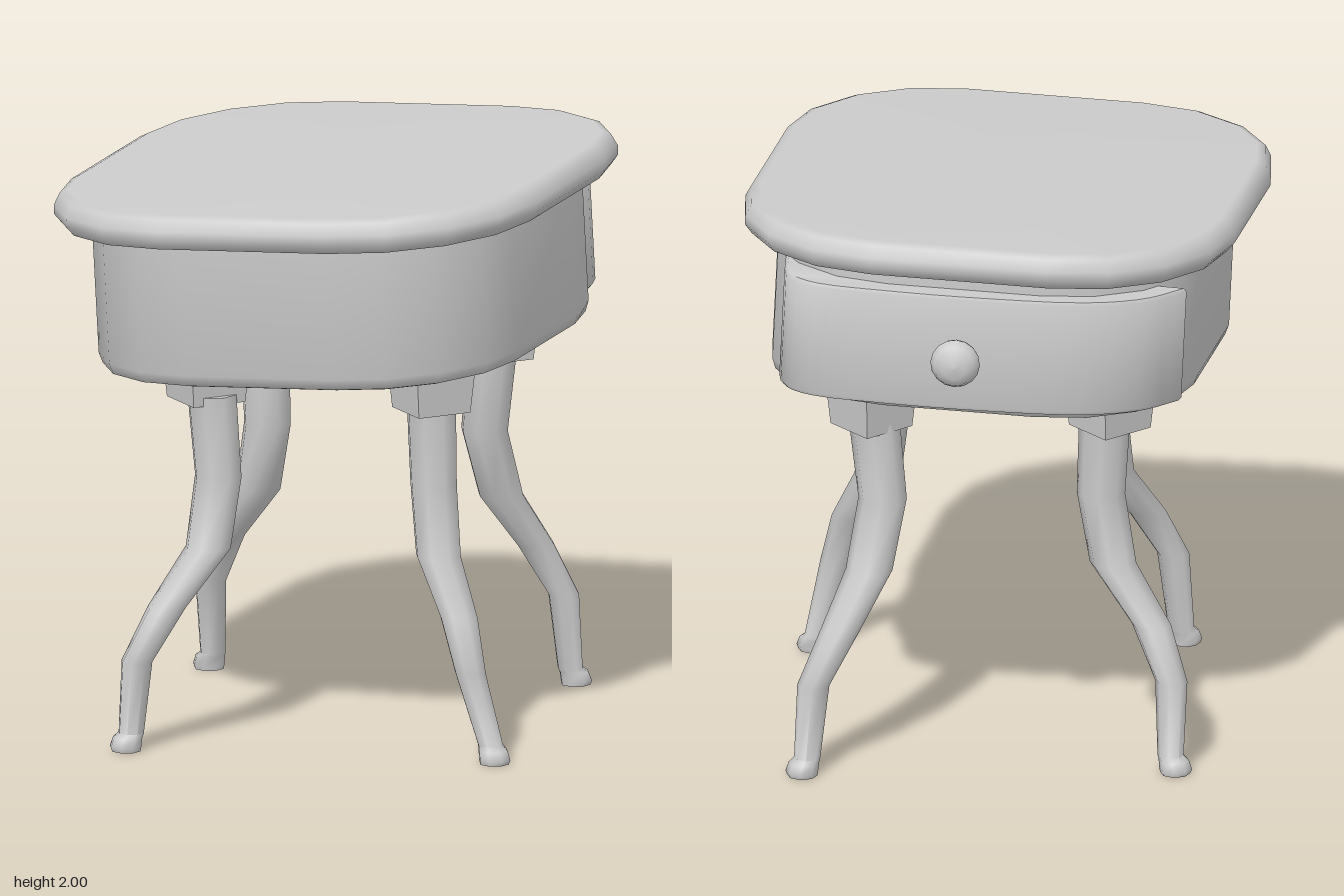
import * as THREE from 'three';
import { toCreasedNormals } from 'three/addons/utils/BufferGeometryUtils.js';

const material = new THREE.MeshStandardMaterial({ color: 0xcccccc });

function part(name, geometry, parent) {
  const mesh = new THREE.Mesh(geometry, material);
  mesh.name = name;
  parent.add(mesh);
  return mesh;
}

// Skin through closed rings of [x, y, z] points, with optional end caps.
// The start cap faces down, the end cap faces up.
function loft(rings, capStart, capEnd) {
  const n = rings[0].length;
  const points = rings.flat();
  const index = [];
  for (let i = 0; i < rings.length - 1; i++) {
    for (let j = 0; j < n; j++) {
      const a = i * n + j, b = i * n + (j + 1) % n;
      index.push(a, a + n, b, b, a + n, b + n);
    }
  }
  const cap = (row, up) => {
    const centre = points.length;
    points.push([0, 1, 2].map((k) => rings[row].reduce((s, p) => s + p[k], 0) / n));
    for (let j = 0; j < n; j++) {
      const a = row * n + j, b = row * n + (j + 1) % n;
      index.push(centre, up ? b : a, up ? a : b);
    }
  };
  if (capStart) cap(0, false);
  if (capEnd) cap(rings.length - 1, true);
  const g = new THREE.BufferGeometry();
  g.setAttribute('position', new THREE.Float32BufferAttribute(points.flat(), 3));
  g.setIndex(index);
  g.computeVertexNormals();
  return g;
}

// Rounded square outline, skewed sideways from front to back.
function roundedSquare(half, radius, y) {
  const ring = [];
  for (let q = 0; q < 4; q++) {
    for (let s = 0; s <= 4; s++) {
      const a = (q + s / 4) * Math.PI / 2;
      const m = (q + 0.5) * Math.PI / 2;
      const x = Math.sign(Math.cos(m)) * (half - radius) + radius * Math.cos(a);
      const z = Math.sign(Math.sin(m)) * (half - radius) + radius * Math.sin(a);
      ring.push([x - 0.1 * z, y, z]);
    }
  }
  return ring;
}

// Horizontal round ring for the legs.
function circle(x, y, z, radius, sides = 8) {
  return Array.from({ length: sides }, (_, i) => {
    const a = i / sides * Math.PI * 2;
    return [x + radius * Math.cos(a), y, z + radius * Math.sin(a)];
  });
}

// Leg heights and radii, shared by all four legs from top to ankle
const legStations = [[1.22, 0.088], [0.93, 0.083], [0.69, 0.08], [0.5, 0.067], [0.32, 0.055], [0.06, 0.045]];
// Foot: [height, outward shift, radius]
const footStations = [[0.045, 0.015, 0.052], [0.015, 0.024, 0.056], [0, 0.022, 0.052]];

// Leg: square block on top, S-curved shaft, small foot pointing outward.
function makeLeg({ name, block: [bx, bz], xs, zs }) {
  const leg = new THREE.Group();
  leg.name = name;
  const block = new THREE.CylinderGeometry(0.165, 0.14, 0.22, 4).translate(bx, 1.3, bz);
  part('legBlock', toCreasedNormals(block, 0.5), leg);

  const rings = legStations.map(([y, r], i) => circle(xs[i], y, zs[i], r));
  const ax = xs.at(-1), az = zs.at(-1), len = Math.hypot(ax, az);
  footStations.forEach(([y, d, r]) => rings.push(circle(ax * (1 + d / len), y, az * (1 + d / len), r)));
  part('legShaft', toCreasedNormals(loft(rings.reverse(), true, true), 1.1), leg);
  return leg;
}

export function createModel() {
  const model = new THREE.Group();
  model.name = 'sideTable';

  // Slightly tilted upper case
  const upper = new THREE.Group();
  upper.name = 'upperCase';
  upper.position.set(0.015, 1.33, 0.06);
  upper.rotation.set(0.025, 0, 0.045);
  model.add(upper);

  // Table top with a rounded rim: [inset, height]
  const rim = [[0.09, 0.5], [0.025, 0.507], [0, 0.54], [0, 0.572], [0.02, 0.612], [0.05, 0.625]];
  part('tableTop', loft(rim.map(([d, y]) => roundedSquare(0.84 - d, 0.54 - d, y)), true, true), upper);

  // Case with a rounded lower lip around a recessed bottom
  const wall = [[0.07, 0.06], [0.06, 0.02], [0.04, -0.005], [0.012, 0.003], [0, 0.04], [0, 0.51]];
  const rings = wall.map(([d, y]) => roundedSquare(0.73 - d, 0.47 - d, y));
  part('case', toCreasedNormals(loft(rings, true), 1.2), upper);

  // Curved drawer front wrapped around the back of the case
  const outline = [
    [-0.67, -0.47], [-0.55, -0.605], [-0.36, -0.695], [0, -0.735], [0.35, -0.735],
    [0.59, -0.71], [0.68, -0.64], [0.71, -0.42],
  ];
  const curve = new THREE.CatmullRomCurve3(outline.map(([x, z]) => new THREE.Vector3(x, 0, z)));
  const front = curve.getPoints(24).map((p) => [p.x - 0.005, p.z - 0.07]);
  const drawerRing = (y, k) => front.map(([x, z]) => [x * k, y, -0.5 + (z + 0.5) * k]);
  const drawer = loft([drawerRing(0.04, 0.985), drawerRing(0.052, 1), drawerRing(0.435, 1), drawerRing(0.447, 0.985)], true, true);
  part('drawer', toCreasedNormals(drawer, 0.9), upper);

  // Knob turned around the z axis: [radius, distance out]
  const profile = [
    [0.03, -0.02], [0.03, 0.01], [0.02, 0.03], [0.022, 0.055], [0.055, 0.075],
    [0.08, 0.105], [0.085, 0.125], [0.07, 0.158], [0.04, 0.175], [0, 0.18],
  ].map(([r, y]) => new THREE.Vector2(r, y));
  const knob = part('drawerKnob', new THREE.LatheGeometry(profile, 16), upper);
  knob.rotation.x = -Math.PI / 2;
  knob.position.set(0.07, 0.25, -0.805);

  // Four legs, each with its own slight sway: x and z down the stations
  [
    {
      name: 'frontRightLeg', block: [-0.34, 0.5],
      xs: [-0.31, -0.29, -0.31, -0.42, -0.505, -0.535], zs: [0.53, 0.52, 0.57, 0.69, 0.76, 0.73],
    },
    {
      name: 'frontLeftLeg', block: [0.44, 0.42],
      xs: [0.44, 0.445, 0.475, 0.575, 0.63, 0.69], zs: [0.42, 0.41, 0.45, 0.535, 0.58, 0.54],
    },
    {
      name: 'backRightLeg', block: [-0.40, -0.32],
      xs: [-0.38, -0.365, -0.41, -0.55, -0.625, -0.625], zs: [-0.29, -0.275, -0.31, -0.39, -0.455, -0.48],
    },
    {
      name: 'backLeftLeg', block: [0.41, -0.39],
      xs: [0.40, 0.37, 0.41, 0.50, 0.585, 0.605], zs: [-0.40, -0.405, -0.465, -0.57, -0.62, -0.63],
    },
  ].forEach((leg) => model.add(makeLeg(leg)));

  return model;
}
